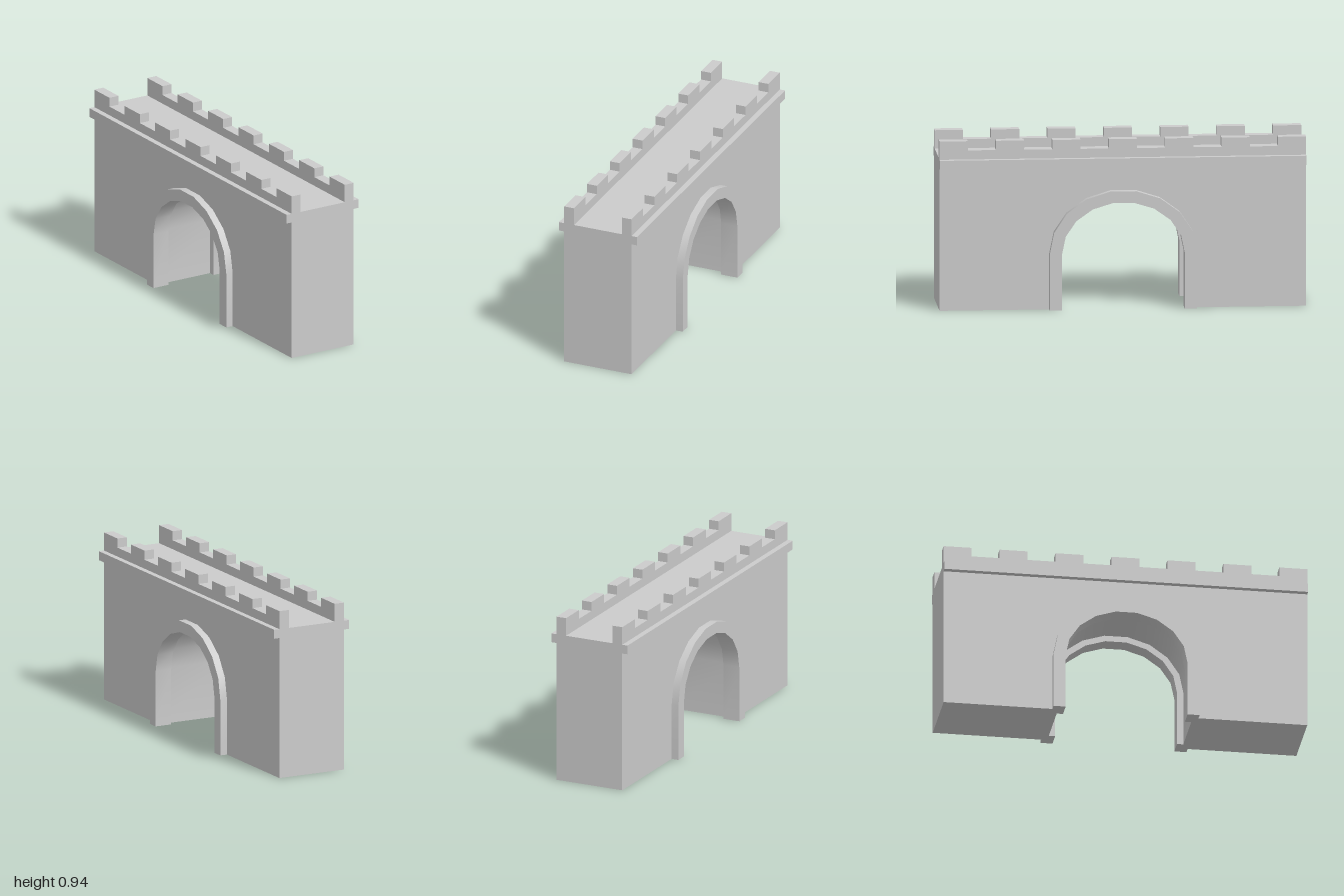
import * as THREE from 'three';
import { toCreasedNormals } from 'three/addons/utils/BufferGeometryUtils.js';

const LENGTH = 2, WALL_HALF = 0.2, DECK_Y = 0.835, SPRING_Y = 0.31;

// Arch outline from the ground at +r, over the crown in nine facets, to the ground at -r
function archPoints(rx, ry) {
  const pts = [new THREE.Vector2(rx, 0)];
  for (let i = 0; i <= 9; i++) {
    const a = (i / 9) * Math.PI;
    pts.push(new THREE.Vector2(rx * Math.cos(a), SPRING_Y + ry * Math.sin(a)));
  }
  pts.push(new THREE.Vector2(-rx, 0));
  return pts;
}

// Extrude a side-elevation outline (z, y) across x, from x0 to x1
function extrudeAcross(points, x0, x1) {
  const geo = new THREE.ExtrudeGeometry(new THREE.Shape(points), { depth: x1 - x0, bevelEnabled: false });
  geo.rotateY(-Math.PI / 2);
  geo.translate(x1, 0, 0);
  return toCreasedNormals(geo, 0.6);
}

export function createModel() {
  const model = new THREE.Group();
  model.name = 'battlementedArchBridge';
  const material = new THREE.MeshStandardMaterial({ color: 0xcccccc });
  const add = (name, geo) => {
    const mesh = new THREE.Mesh(geo, material);
    mesh.name = name;
    model.add(mesh);
  };
  const V = (z, y) => new THREE.Vector2(z, y);
  const half = LENGTH / 2;

  // Main wall with the arched passage cut through it
  const wall = [V(half, 0), V(half, DECK_Y), V(-half, DECK_Y), V(-half, 0),
    ...archPoints(0.37, 0.317).reverse()];
  add('wall', extrudeAcross(wall, -WALL_HALF, WALL_HALF));

  // Battlement profile: seven merlons and six gaps of equal width
  const step = LENGTH / 13;
  const battlement = [V(-half, DECK_Y)];
  for (let i = 0; i < 13; i++) {
    const y = i % 2 === 0 ? 0.936 : 0.885;
    battlement.push(V(-half + i * step, y), V(-half + (i + 1) * step, y));
  }
  battlement.push(V(half, DECK_Y));

  // Arch surround, proud of the wall face and of the passage
  const surround = [...archPoints(0.402, 0.349), ...archPoints(0.335, 0.284).reverse()];

  for (const [side, s] of [['left', 1], ['right', -1]]) {
    const span = (a, b) => (s > 0 ? [a, b] : [-b, -a]);
    add(side + 'ArchSurround', extrudeAcross(surround, ...span(0.145, 0.241)));
    add(side + 'Battlement', extrudeAcross(battlement, ...span(0.142, WALL_HALF)));

    // String course below the battlement
    const ledge = new THREE.BoxGeometry(0.032, 0.05, LENGTH);
    ledge.translate(s * (WALL_HALF + 0.016), 0.81, 0);
    add(side + 'Ledge', ledge);
  }
  return model;
}
